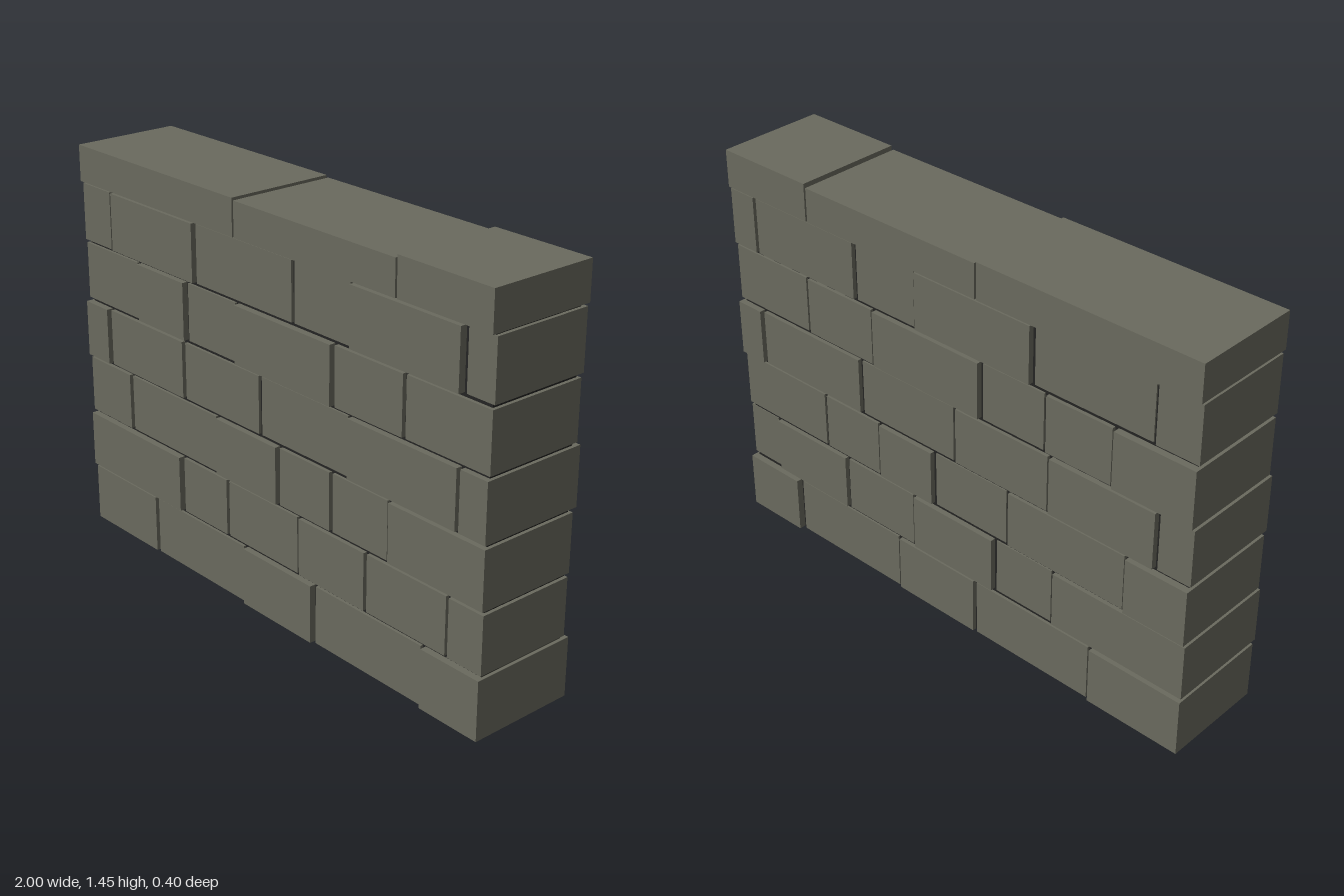
import * as THREE from 'three';

const stone = new THREE.MeshStandardMaterial({ color: 0x6a6a5e, side: THREE.DoubleSide });
stone.name = 'stone';
const mortar = new THREE.MeshStandardMaterial({ color: 0x242423, side: THREE.DoubleSide });
mortar.name = 'mortar';

const JOINT = 0.013;
const PITCH = 0.2193; // course height including its bed joint

// Box given by its limits; openBottom leaves out the face on the ground
function block(name, material, [x0, x1], [y0, y1], [z0, z1], openBottom = false) {
  const geometry = new THREE.BoxGeometry(x1 - x0, y1 - y0, z1 - z0);
  if (openBottom) {
    const index = Array.from(geometry.index.array);
    index.splice(18, 6);
    geometry.setIndex(index);
    geometry.clearGroups();
  }
  const mesh = new THREE.Mesh(geometry, material);
  mesh.name = name;
  mesh.position.set((x0 + x1) / 2, (y0 + y1) / 2, (z0 + z1) / 2);
  return mesh;
}

// Each course: joint positions along x, then front and back depth of every block
const courses = [
  { joints: [-0.627, -0.125, 0.238, 0.745],
    front: [0.19, 0.185, 0.198, 0.185, 0.2], back: [0.195, 0.185, 0.19, 0.182, 0.2] },
  { joints: [-0.462, -0.212, 0.158, 0.485, 0.85],
    front: [0.2, 0.187, 0.185, 0.19, 0.188, 0.19], back: [0.19, 0.18, 0.195, 0.185, 0.192, 0.178] },
  { joints: [-0.757, -0.265, 0.062, 0.318, 0.585],
    front: [0.19, 0.185, 0.197, 0.188, 0.185, 0.195], back: [0.2, 0.187, 0.18, 0.193, 0.185, 0.183] },
  { joints: [-0.868, -0.44, -0.034, 0.397, 0.883],
    front: [0.2, 0.19, 0.185, 0.182, 0.197, 0.195], back: [0.185, 0.195, 0.187, 0.182, 0.19, 0.198] },
  { joints: [-0.69, -0.418, -0.152, 0.33, 0.645],
    front: [0.185, 0.197, 0.183, 0.2, 0.19, 0.187], back: [0.2, 0.188, 0.182, 0.195, 0.187, 0.183] },
  { joints: [-0.835, -0.365, 0.133, 0.405, 0.883],
    front: [0.19, 0.195, 0.185, 0.183, 0.2, 0.18], back: [0.187, 0.18, 0.195, 0.183, 0.19, 0.192] },
];

export function createModel() {
  const wall = new THREE.Group();
  wall.name = 'stoneWall';

  // Dark mortar core showing through every joint
  wall.add(block('mortarCore', mortar, [-0.988, 0.988], [0, 1.312], [-0.175, 0.175], true));

  // Staggered courses of rectangular blocks
  courses.forEach(({ joints, front, back }, row) => {
    const course = new THREE.Group();
    course.name = `course${row + 1}`;
    const bottom = row === 0 ? 0 : row * PITCH + JOINT / 2;
    const top = (row + 1) * PITCH - JOINT / 2;
    front.forEach((z, i) => {
      const left = i === 0 ? -1 : joints[i - 1] + JOINT / 2;
      const right = i === joints.length ? 1 : joints[i] - JOINT / 2;
      course.add(block('stoneBlock', stone, [left, right], [bottom, top], [-back[i], z], row === 0));
    });
    wall.add(course);
  });

  // Uneven coping slabs along the top
  const coping = new THREE.Group();
  coping.name = 'coping';
  [[-1, -0.147, 1.449], [-0.139, 0.608, 1.442], [0.616, 1, 1.454]].forEach(([x0, x1, top]) => {
    coping.add(block('copingSlab', stone, [x0, x1], [1.318, top], [-0.2, 0.2]));
  });
  wall.add(coping);

  return wall;
}
